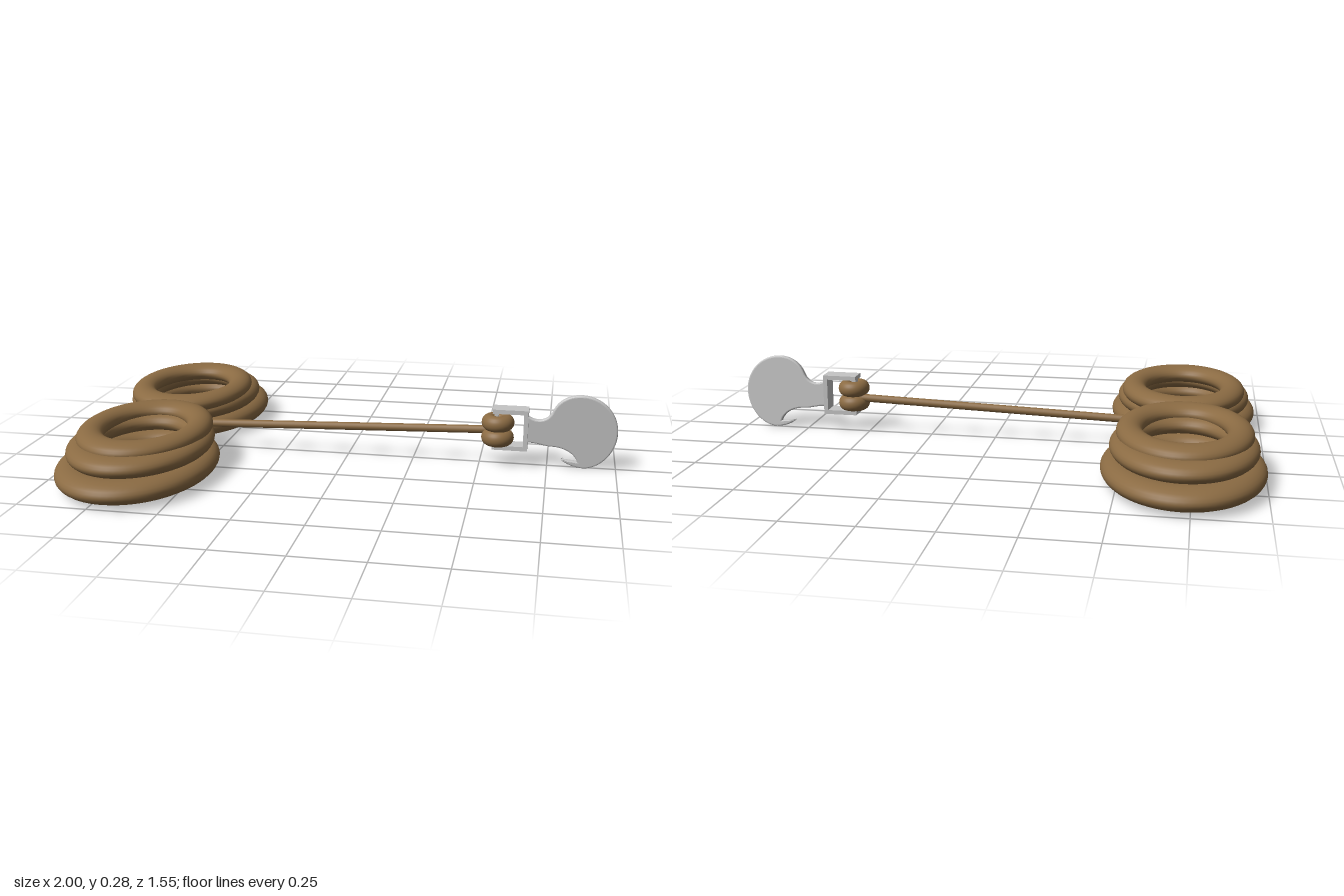
import * as THREE from 'three';

export function createModel() {
  const model = new THREE.Group();
  const rope = new THREE.MeshStandardMaterial({ color: 0x8b6b43 });
  rope.name = 'brown rope';
  const steel = new THREE.MeshStandardMaterial({ color: 0xc6c6c6 });
  steel.name = 'grey steel';

  const add = (parent, name, geometry, material, x = 0, y = 0, z = 0) => {
    const mesh = new THREE.Mesh(geometry, material);
    mesh.name = name;
    mesh.position.set(x, y, z);
    parent.add(mesh);
    return mesh;
  };

  // Flat-lying oval ring: R and r are the long-axis radii, h the half height
  const oval = (R, r, ratio, h) =>
    new THREE.TorusGeometry(R, r, 24, 72).rotateX(Math.PI / 2).scale(ratio, h / r, 1);

  // Two coils lying side by side, three shrinking turns each
  const turns = [
    { R: 0.313, r: 0.077, y: 0.055, h: 0.04, z: 0.385 },
    { R: 0.284, r: 0.07, y: 0.12, h: 0.036, z: 0.348 },
    { R: 0.264, r: 0.064, y: 0.156, h: 0.034, z: 0.303 },
  ];
  for (const side of [-1, 1]) {
    const coil = new THREE.Group();
    coil.name = side < 0 ? 'backCoil' : 'frontCoil';
    for (const t of turns) {
      const ring = add(coil, 'coilTurn', oval(t.R, t.r, 0.72, t.h), rope,
        -0.708 + side * 0.01, t.y, side * t.z);
      ring.rotation.y = 0.025;
    }
    model.add(coil);
  }

  // Straight rope from the coils to the knot
  const line = new THREE.LineCurve3(
    new THREE.Vector3(-0.62, 0.098, 0.01), new THREE.Vector3(0.54, 0.137, 0.01));
  add(model, 'straightRope', new THREE.TubeGeometry(line, 1, 0.015, 16), rope);

  // Knot: two wraps around the left bar of the shackle
  const knot = new THREE.Group();
  knot.name = 'knot';
  for (const y of [0.114, 0.171]) add(knot, 'knotWrap', oval(0.032, 0.028, 1, 0.03), rope, 0.566, y, 0.025);
  model.add(knot);

  // Square shackle frame
  const shackle = new THREE.Group();
  shackle.name = 'shackle';
  for (const y of [0.079, 0.217]) {
    add(shackle, 'shacklePlate', new THREE.BoxGeometry(0.13, 0.016, 0.068), steel, 0.612, y, 0.016);
  }
  add(shackle, 'shackleEnd', new THREE.BoxGeometry(0.016, 0.122, 0.068), steel, 0.669, 0.148, 0.016);
  add(shackle, 'shackleBar', new THREE.BoxGeometry(0.016, 0.122, 0.03), steel, 0.56, 0.148, 0.016);
  model.add(shackle);

  // Flat hook with a broad round bend, a narrow neck and a short barb
  const s = new THREE.Shape();
  s.moveTo(0.67, 0.205);
  s.bezierCurveTo(0.695, 0.18, 0.745, 0.175, 0.765, 0.225);
  s.bezierCurveTo(0.785, 0.27, 0.825, 0.288, 0.865, 0.288);
  s.bezierCurveTo(0.94, 0.288, 1.0, 0.225, 1.0, 0.15);
  s.bezierCurveTo(1.0, 0.07, 0.94, 0.006, 0.88, 0.006);
  s.quadraticCurveTo(0.83, 0.01, 0.8, 0.036);
  s.lineTo(0.86, 0.03);
  s.bezierCurveTo(0.845, 0.07, 0.8, 0.085, 0.765, 0.085);
  s.bezierCurveTo(0.735, 0.085, 0.705, 0.1, 0.67, 0.095);
  s.closePath();
  const plate = new THREE.ExtrudeGeometry(s, {
    depth: 0.01, curveSegments: 20, bevelEnabled: true,
    bevelThickness: 0.006, bevelSize: 0.006, bevelOffset: -0.006, bevelSegments: 3,
  }).translate(0, -0.147, -0.005);
  const hook = add(model, 'hook', plate, steel, 0, 0.147, 0.014);
  hook.rotation.x = 0.07;

  return model;
}
